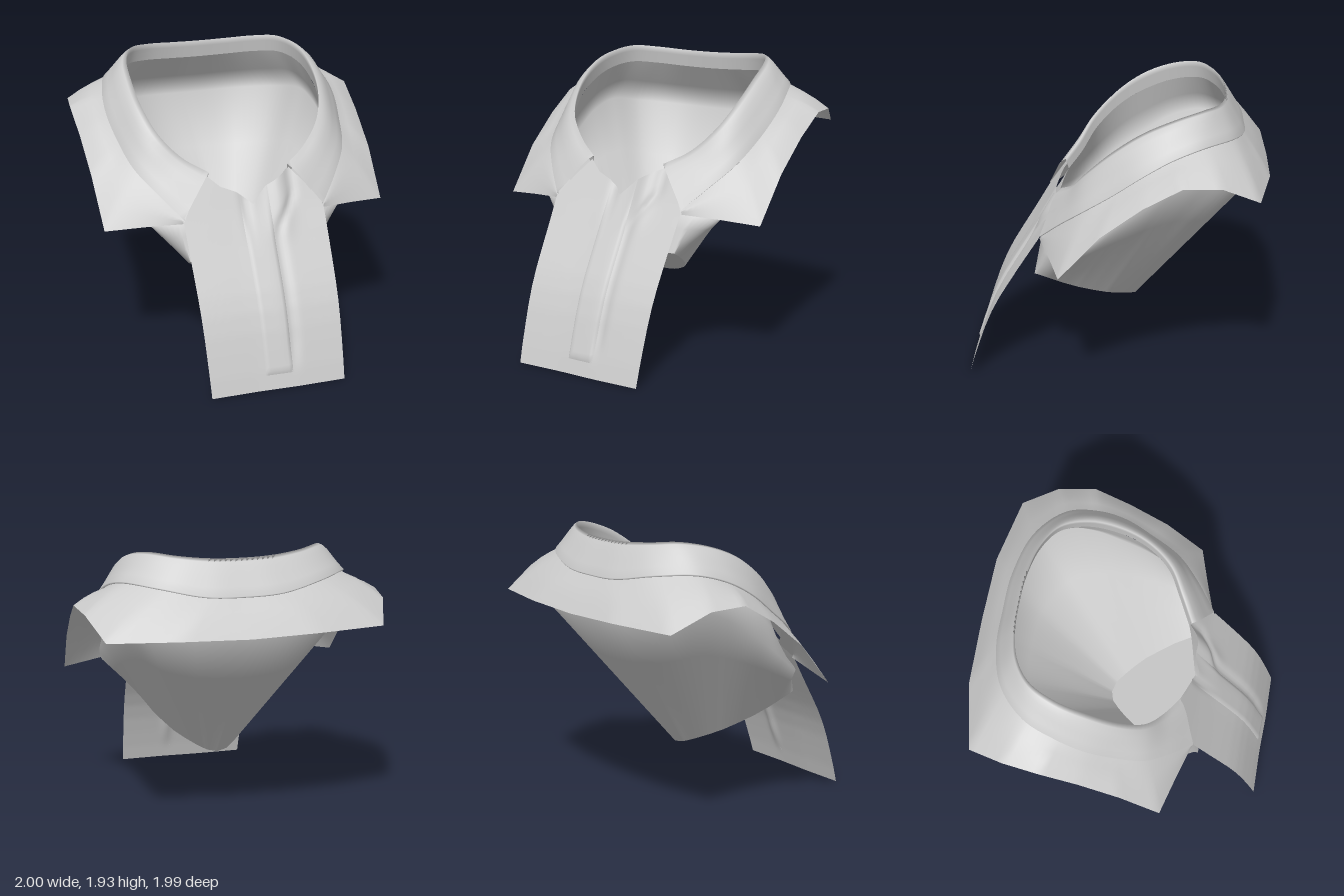
import * as THREE from 'three';

const V = (x, y, z) => new THREE.Vector3(x, y, z);
const mix = (a, b, t) => a.clone().lerp(b, t);
const { smoothstep, clamp } = THREE.MathUtils;

// mirror a half line (left front to back centre) into a full one
function full(half) {
  const pts = half.map(p => V(...p));
  const other = pts.slice(0, -1).reverse().map(p => V(-p.x, p.y, p.z));
  return pts.concat(other);
}

// sample a line by control point, smooth or with sharp corners
function sample(pts, smooth, steps = 6) {
  const n = (pts.length - 1) * steps;
  const curve = new THREE.CatmullRomCurve3(pts);
  return Array.from({ length: n + 1 }, (_, i) => {
    if (smooth) return curve.getPoint(i / n);
    const k = Math.min(Math.floor(i / steps), pts.length - 2);
    return mix(pts[k], pts[k + 1], i / steps - k);
  });
}

// skin a list of rows of equal length
function loft(rows) {
  const w = rows[0].length, index = [];
  for (let r = 0; r < rows.length - 1; r++)
    for (let c = 0; c < w - 1; c++) {
      const a = r * w + c, b = a + w;
      index.push(a, b, a + 1, a + 1, b, b + 1);
    }
  const g = new THREE.BufferGeometry().setFromPoints(rows.flat());
  g.setIndex(index);
  g.computeVertexNormals();
  return g;
}

// piecewise linear lookup in [key, value] pairs with rising keys
function lookup(table, k) {
  if (k <= table[0][0]) return table[0][1];
  for (let i = 1; i < table.length; i++) {
    const [a, va] = table[i - 1], [b, vb] = table[i];
    if (k <= b) return va + (vb - va) * (k - a) / (b - a);
  }
  return table[table.length - 1][1];
}

const CREST = [[.27, 1.305, .36], [.42, 1.39, .27], [.55, 1.53, .17], [.62, 1.69, .01], [.635, 1.82, -.18],
  [.61, 1.90, -.38], [.53, 1.935, -.55], [.39, 1.925, -.65], [.20, 1.91, -.70], [0, 1.905, -.71]];
const EDGE = [[.48, 1.05, .49], [.62, 1.20, .35], [.73, 1.33, .20], [.785, 1.47, 0], [.81, 1.60, -.18],
  [.79, 1.70, -.36], [.72, 1.76, -.56], [.53, 1.75, -.74], [.25, 1.70, -.83], [0, 1.69, -.84]];
const HEM = [[.48, 1.02, .485], [.72, 1.00, .41], [.965, .975, .34], [.98, 1.265, .08], [.99, 1.46, -.18],
  [1, 1.595, -.42], [.965, 1.585, -.66], [.88, 1.465, -.90], [.44, 1.47, -.99], [0, 1.46, -1]];
// lining: line close under the yoke, and V-shaped lower edge
const RIM = [[0, 1.00, .48], [.50, 1.00, .44], [.68, 1.00, .32], [.75, 1.12, .14], [.765, 1.25, -.03],
  [.765, 1.36, -.20], [.755, 1.47, -.38], [.72, 1.53, -.58], [.62, 1.50, -.78], [.35, 1.47, -.93], [0, 1.46, -.96]];
const FOOT = [[0, .77, .53], [.45, .77, .53], [.435, .73, .44], [.41, .685, .35], [.37, .635, .25],
  [.32, .59, .16], [.26, .543, .06], [.20, .509, -.01], [.13, .475, -.08], [.07, .451, -.13], [0, .44, -.15]];

// front panel: neckline height across x, and depth against height
const NECKLINE = [[-.48, 1.03], [-.38, 1.17], [-.28, 1.28], [-.2, 1.21], [-.1, 1.17], [0, 1.09],
  [.1, 1.19], [.2, 1.245], [.28, 1.28], [.38, 1.17], [.48, 1.03]];
const DEPTH = [[0, .99], [.12, .955], [.25, .912], [.37, .87], [.49, .82], [.6, .763], [.7, .703],
  [.87, .598], [1.06, .485], [1.3, .35]];
const bump = (d, w) => Math.exp(-d * d / (w * w));

function panelPoint(x, y) {
  const up = smoothstep(y, .8, 1.15);
  const low = smoothstep(y, .08, .3);
  let z = lookup(DEPTH, y);
  z += .012 * smoothstep(x, -.2, .2) * (1 - up) - .008;       // slight twist
  z -= .018 * low * bump(x - .135 - .14 * up * up, .035);     // groove beside the placket
  z += .035 * up * bump(x - .18, .07);                        // folded top of the placket
  z -= .02 * up * bump(x + .05, .03);                         // crease at the overlap
  return V(x * (1 - .06 * (1 - y)), y, z);
}

export function createModel() {
  const model = new THREE.Group();
  const cloth = new THREE.MeshStandardMaterial({ color: 0xcccccc, side: THREE.DoubleSide });
  cloth.name = 'light grey cloth';
  const add = (name, rows) => {
    const mesh = new THREE.Mesh(loft(rows), cloth);
    mesh.name = name;
    model.add(mesh);
  };

  const crest = sample(full(CREST), true);
  const edge = sample(full(EDGE), true);
  const hem = sample(full(HEM), false);

  // folded collar: inner stand, rounded crest, fall, turned lip
  const heart = V(0, 1.25, -.2);
  const fall = (f, puff) => crest.map((p, i) => {
    const q = mix(p, edge[i], f);
    const ease = 1 - .8 * smoothstep(-q.z, .3, .7);
    return q.addScaledVector(q.clone().sub(heart).normalize(), puff * ease);
  });
  const drop = p => V(p.x * 1.03, p.y - .07 - .05 * clamp((.4 - p.z) / .6, 0, 1), p.z - .02);
  add('collar', [
    crest.map(drop),
    crest.map(p => mix(p, drop(p), .35)),
    crest,
    fall(.1, .016), fall(.28, .022), fall(.5, .015), fall(.75, .006), edge,
    edge.map((p, i) => mix(p, crest[i], .05).add(V(0, -.02, 0)))
  ]);

  // yoke over the shoulders, tucked under the collar
  const tuck = edge.map(p => p.clone().add(V(0, -.02, 0)));
  add('yoke', [
    tuck.map((p, i) => mix(p, crest[i], .4).add(V(0, -.03, 0))),
    tuck,
    ...[.33, .67].map(f => tuck.map((p, i) => mix(p, hem[i], f).add(V(0, .012, 0)))),
    hem
  ]);

  // lining from the collar stand, under the yoke, down to the V-shaped foot
  const neck = sample(full([[0, 1.05, .43], ...CREST.map(p => drop(V(...p)).toArray())]), true);
  const rim = sample(full(RIM), true);
  const foot = sample(full(FOOT), false);
  add('lining', [
    neck,
    neck.map((p, i) => mix(p, rim[i], .5)),
    ...[0, .33, .67, 1].map(f => rim.map((p, i) => mix(p, foot[i], f)))
  ]);
  add('liningBase', [foot, foot.map(p => V(0, p.y, p.z))]);

  // front panel hanging from the neckline
  const columns = Array.from({ length: 49 }, (_, i) => -.48 + .02 * i);
  const levels = Array.from({ length: 41 }, (_, i) => i / 40);
  add('frontPanel', levels.map(t => columns.map(x =>
    panelPoint(x, lookup(NECKLINE, x) * (1 - t) + .008 * t))));

  // raised button placket strip, fading into the neckline
  const strip = [-.085, -.07, -.05, -.02, 0, .02, .05, .08, .095, .11];
  add('placket', levels.map((t, r) => strip.map((x, c) => {
    const p = panelPoint(x, lookup(NECKLINE, x) * (1 - t) + .1 * t);
    const flat = c === 0 || c === strip.length - 1 || r === levels.length - 1;
    return p.add(V(0, 0, flat ? 0 : .003 + .007 * smoothstep(t, 0, .25)));
  })));

  return model;
}
